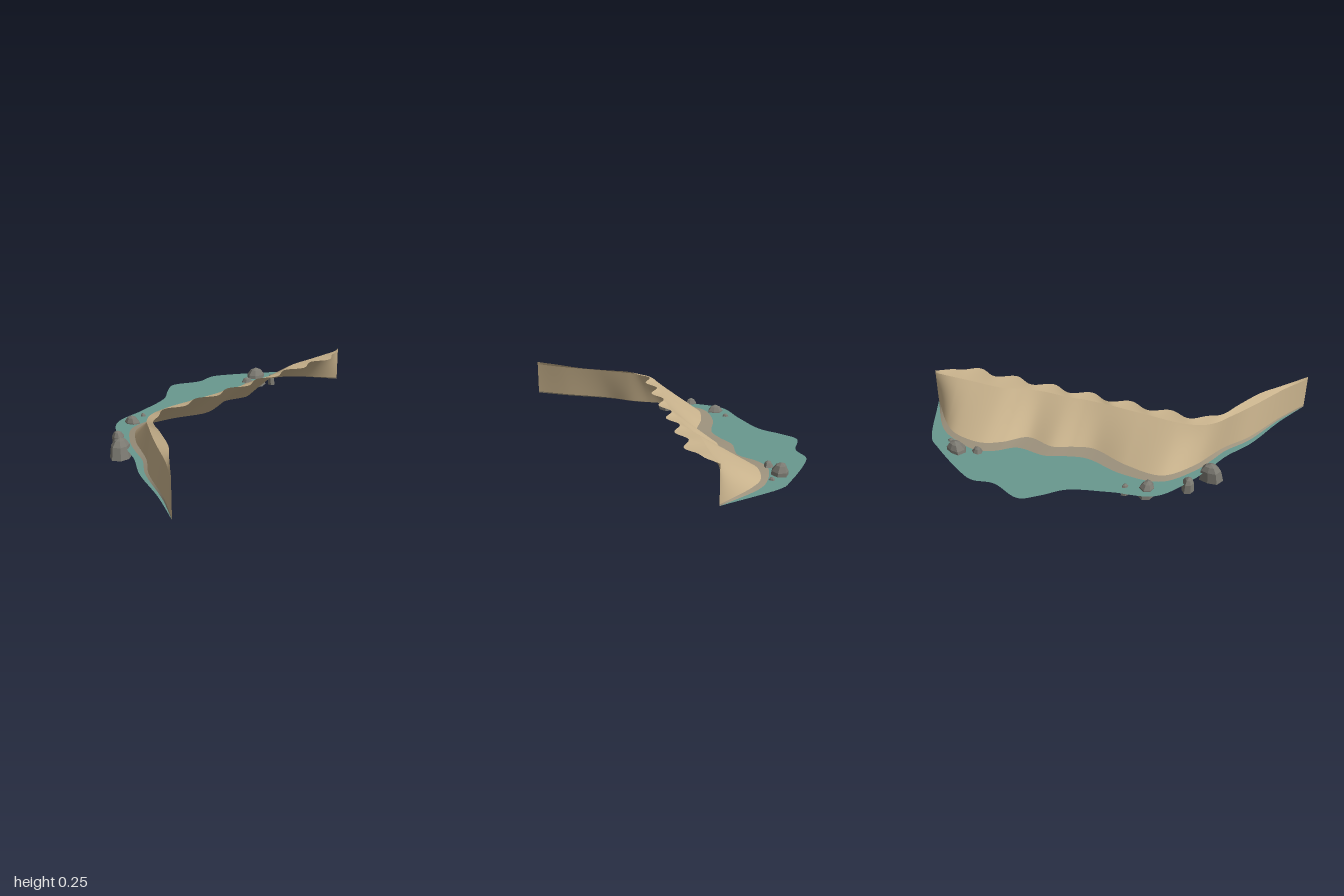
import * as THREE from 'three';

const STEPS = 240;
const LEFT_TIP = [-1, 0.67], RIGHT_TIP = [1, -0.05];

const mat = (name, color, side = THREE.FrontSide) => {
  const m = new THREE.MeshStandardMaterial({ color, side });
  m.name = name;
  return m;
};

// Smooth shoreline contour running between the two pointed tips at one height
function contour(y, inner) {
  const pts = [LEFT_TIP, ...inner, RIGHT_TIP].map(([x, z]) => new THREE.Vector3(x, y, z));
  const curve = new THREE.CatmullRomCurve3(pts, false, 'centripetal');
  return Array.from({ length: STEPS + 1 }, (_, i) => curve.getPoint(i / STEPS));
}

// Ruled sheet between a landward and a seaward contour
function strip(name, land, sea, material, rows = 1) {
  const pos = [], idx = [], w = STEPS + 1, p = new THREE.Vector3();
  for (let r = 0; r <= rows; r++) {
    for (let i = 0; i < w; i++) {
      p.lerpVectors(land[i], sea[i], r / rows);
      pos.push(p.x, p.y, p.z);
    }
  }
  for (let r = 0; r < rows; r++) {
    for (let i = 0; i < STEPS; i++) {
      const a = r * w + i, b = a + w;
      idx.push(a, a + 1, b, a + 1, b + 1, b);
    }
  }
  const g = new THREE.BufferGeometry();
  g.setAttribute('position', new THREE.Float32BufferAttribute(pos, 3));
  g.setIndex(idx);
  g.computeVertexNormals();
  const mesh = new THREE.Mesh(g, material);
  mesh.name = name;
  return mesh;
}

// Faceted boulder: tapering sides with a skewed, pointed cap
function boulder(x, z, r, h, turn, material) {
  const profile = [[0, 0], [r, 0], [r * 0.84, h * 0.62], [r * 0.5, h * 0.88], [0, h]]
    .map(([a, b]) => new THREE.Vector2(a, b));
  const g = new THREE.LatheGeometry(profile, 7).toNonIndexed();
  const p = g.attributes.position;
  for (let i = 0; i < p.count; i++) {
    const px = p.getX(i), py = p.getY(i), pz = p.getZ(i);
    const angle = Math.atan2(pz, px);
    const k = 1 + 0.1 * Math.sin(angle * 2 + turn * 3) + 0.06 * Math.cos(angle * 3 + turn);
    const lean = (py / h) * r * 0.15;
    p.setXYZ(i, px * k + lean, py, pz * k * 0.88 - lean);
  }
  g.computeVertexNormals();
  const mesh = new THREE.Mesh(g, material);
  mesh.name = 'boulder';
  mesh.position.set(x, 0, z);
  mesh.rotation.y = turn;
  return mesh;
}

export function createModel() {
  const group = new THREE.Group();
  group.name = 'beach';
  const sand = mat('drySand', 0xc8b28c, THREE.DoubleSide);
  const wet = mat('wetSand', 0x9c917c, THREE.DoubleSide);
  const water = mat('shallowWater', 0x69988f, THREE.DoubleSide);
  const rock = mat('rock', 0x7c7a72);
  rock.flatShading = true;

  // Contours from the land to the sea
  const crest = contour(0.253, [
    [-0.88, 0.52], [-0.79, 0.41], [-0.71, 0.26], [-0.64, 0.12], [-0.56, 0.07], [-0.44, 0.045],
    [-0.235, 0.045], [-0.02, 0.045], [0.085, 0.045], [0.19, 0.045], [0.35, 0.045],
    [0.46, 0.045], [0.57, 0.045], [0.74, 0.045], [0.86, 0.03]]);
  const brow = contour(0.238, [
    [-0.9, 0.52], [-0.78, 0.3], [-0.69, 0.15], [-0.63, 0.06], [-0.56, 0.01], [-0.44, -0.01],
    [-0.235, 0], [-0.02, 0.01], [0.085, 0.01], [0.19, 0], [0.35, 0],
    [0.46, -0.02], [0.57, -0.05], [0.74, -0.05], [0.85, -0.05]]);
  const toe = contour(0.058, [
    [-0.9, 0.5], [-0.775, 0.24], [-0.68, 0.11], [-0.625, 0], [-0.57, -0.11], [-0.44, -0.25],
    [-0.235, -0.235], [-0.02, -0.165], [0.085, -0.19], [0.19, -0.23], [0.35, -0.2],
    [0.46, -0.29], [0.57, -0.34], [0.74, -0.315], [0.83, -0.25]]);
  const waterline = contour(0.05, [
    [-0.9, 0.49], [-0.78, 0.22], [-0.69, 0.09], [-0.64, -0.03], [-0.585, -0.14], [-0.45, -0.29],
    [-0.235, -0.305], [-0.02, -0.25], [0.085, -0.27], [0.2, -0.31], [0.37, -0.3],
    [0.47, -0.37], [0.57, -0.4], [0.75, -0.345], [0.84, -0.28]]);
  const outer = contour(0.05, [
    [-0.9, 0.46], [-0.8, 0.2], [-0.71, 0.05], [-0.66, -0.07], [-0.6, -0.21], [-0.46, -0.41],
    [-0.235, -0.465], [-0.02, -0.53], [0.085, -0.62], [0.18, -0.68], [0.35, -0.62],
    [0.47, -0.635], [0.57, -0.59], [0.78, -0.45], [0.84, -0.4]]);

  // Scallops along the crest, fading towards both tips
  for (const p of crest) {
    const fade = THREE.MathUtils.smoothstep(p.x, -0.68, -0.5)
      * (1 - THREE.MathUtils.smoothstep(p.x, 0.8, 0.95));
    p.z += 0.024 * fade * Math.cos((2 * Math.PI * (p.x - 0.77)) / 0.23);
  }

  group.add(
    strip('upperBeach', crest, brow, sand, 2),
    strip('beachSlope', brow, toe, sand, 6),
    strip('wetSandBand', toe, waterline, wet),
    strip('shallowWater', waterline, outer, water, 2),
  );

  // Boulders: x, z, radius, height, turn
  const boulders = [
    [-0.67, -0.11, 0.06, 0.105, 0.3], [-0.58, -0.24, 0.04, 0.085, 1.2],
    [-0.39, -0.355, 0.052, 0.09, 2.1], [-0.29, -0.39, 0.025, 0.068, 0.8],
    [0.56, -0.41, 0.038, 0.08, 2.7], [0.66, -0.43, 0.062, 0.11, 0.1],
    [0.74, -0.37, 0.025, 0.066, 1.7]];
  for (const b of boulders) group.add(boulder(...b, rock));
  return group;
}
